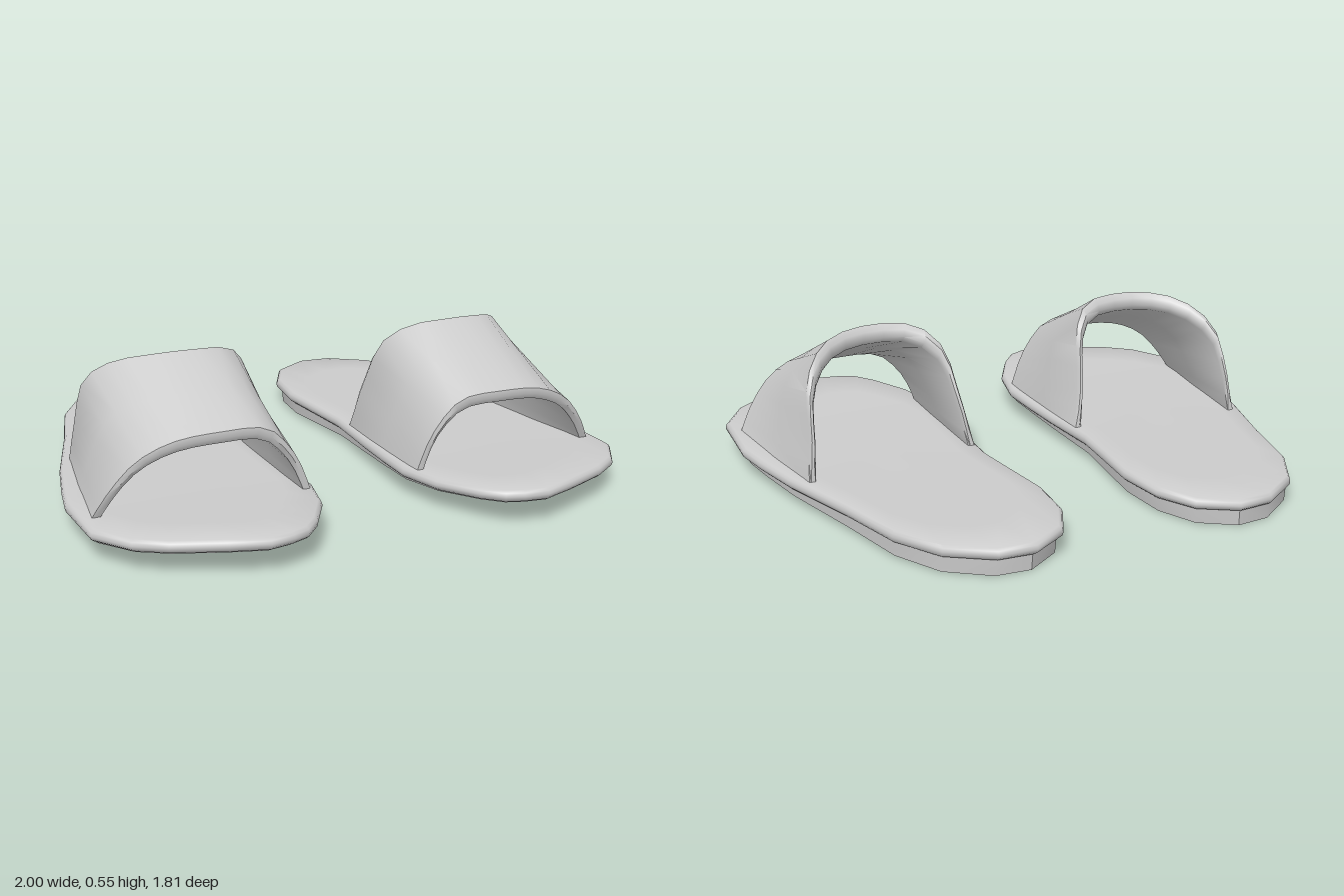
import * as THREE from 'three';
import { toCreasedNormals } from 'three/addons/utils/BufferGeometryUtils.js';

// Footbed outline (x, z) of the sandal on the +x side
const OUTLINE = [
  [.38, -.91], [.51, -.90], [.66, -.80], [.76, -.63], [.83, -.37], [.93, -.05],
  [.975, .15], [1, .29], [.99, .57], [.90, .71], [.80, .78], [.63, .855],
  [.505, .90], [.42, .885], [.36, .86], [.30, .79], [.215, .64], [.175, .47],
  [.18, .30], [.187, .13], [.20, -.13], [.18, -.32], [.16, -.50], [.18, -.69], [.25, -.83],
];

// Strap edges (x, y, z), from the outer side over the arch to the inner side
const STRAP_FRONT = [
  [.965, .09, .46], [.91, .19, .49], [.82, .295, .515], [.70, .352, .53], [.53, .367, .537],
  [.37, .355, .535], [.295, .29, .53], [.24, .20, .525], [.20, .09, .52],
];
const STRAP_REAR = [
  [.875, .09, -.125], [.858, .25, -.085], [.835, .42, -.02], [.76, .505, .075], [.66, .537, .15],
  [.50, .547, .18], [.36, .53, .155], [.282, .46, .09], [.245, .29, .02], [.21, .09, -.04],
];

// Heights along the length of the sole
const topY = z => .10 + .033 * Math.max(0, z / .9) ** 2;
const seamY = z => topY(z) - .04;
const bottomY = z => .03 + .048 * z + .016 * z * z;

// Skin a list of rings; side = -1 mirrors in x and keeps faces outward
function loft(rings, closed, side, crease) {
  const pos = [];
  const P = p => new THREE.Vector3(p[0] * side, p[1], p[2]);
  const tri = (a, b, c) => {
    const v = side > 0 ? [P(a), P(b), P(c)] : [P(a), P(c), P(b)];
    if (new THREE.Triangle(...v).getArea() < 1e-8) return;
    v.forEach(q => pos.push(q.x, q.y, q.z));
  };
  for (let j = 0; j < rings.length - 1; j++) {
    const n = rings[j].length;
    for (let i = 0; i < (closed ? n : n - 1); i++) {
      const k = (i + 1) % n;
      const a = rings[j][i], b = rings[j][k], c = rings[j + 1][k], d = rings[j + 1][i];
      tri(a, d, b);
      tri(b, d, c);
    }
  }
  const g = new THREE.BufferGeometry();
  g.setAttribute('position', new THREE.Float32BufferAttribute(pos, 3));
  return toCreasedNormals(g, crease);
}

// Outline inset by a distance d at the rim, or shrunk by factor f, at height h(z)
function soleRing(d, f, h) {
  return OUTLINE.map(([x, z]) => {
    const rx = .57 + (x - .57) * (1 - d / .42) * f;
    const rz = z * (1 - d / .9) * f;
    return [rx, h(rz), rz];
  });
}

// Resample a strap edge evenly along its curve
function edge(points) {
  const curve = new THREE.CatmullRomCurve3(points.map(p => new THREE.Vector3(...p)), false, 'centripetal');
  return curve.getSpacedPoints(18).map(p => p.toArray());
}

// Pull a strap edge inwards by t (0..1 of full thickness) and shift it in z
const inner = (ring, t, dz) => ring.map(([x, y, z]) => {
  const lift = Math.min(1, (y - .09) / .15);
  return [.55 + (x - .55) * (1 - .07 * t), .09 + (y - .09) * (1 - .15 * t), z + dz * lift];
});

function makeSandal(side) {
  const material = new THREE.MeshStandardMaterial({ color: 0xcccccc, side: THREE.DoubleSide });
  const sandal = new THREE.Group();
  const add = (name, geometry) => {
    const mesh = new THREE.Mesh(geometry, material);
    mesh.name = name;
    sandal.add(mesh);
  };

  // Outsole: wedge that thins out towards the toe
  add('outsole', loft([
    ...[0, .33, .66, 1].map(f => soleRing(.025, f, bottomY)),
    soleRing(.02, 1, z => seamY(z) + .005),
  ], true, side, .6));

  // Footbed: rounded rim and smooth top
  const rim = [[.04, -.04], [.012, -.04], [.003, -.032], [0, -.02], [.004, -.008], [.014, 0]];
  add('footbed', loft([
    ...rim.map(([d, dy]) => soleRing(d, 1, z => topY(z) + dy)),
    ...[.8, .55, .28, 0].map(f => soleRing(.014, f, topY)),
  ], true, side, .9));

  // Strap: outer skin, rounded rear lip, lining, front lip
  const front = edge(STRAP_FRONT), rear = edge(STRAP_REAR);
  const middle = front.map((p, i) => p.map((v, k) => (v + rear[i][k]) / 2));
  add('strap', loft([
    front, middle, rear,
    inner(rear, .3, -.022), inner(rear, .7, -.025), inner(rear, 1, -.01),
    inner(middle, 1, 0),
    inner(front, 1, -.01), inner(front, .5, .003), front,
  ], false, side, .8));
  return sandal;
}

export function createModel() {
  const model = new THREE.Group();
  model.name = 'sandals';
  for (const [side, name] of [[1, 'leftSandal'], [-1, 'rightSandal']]) {
    const sandal = makeSandal(side);
    sandal.name = name;
    model.add(sandal);
  }
  return model;
}
